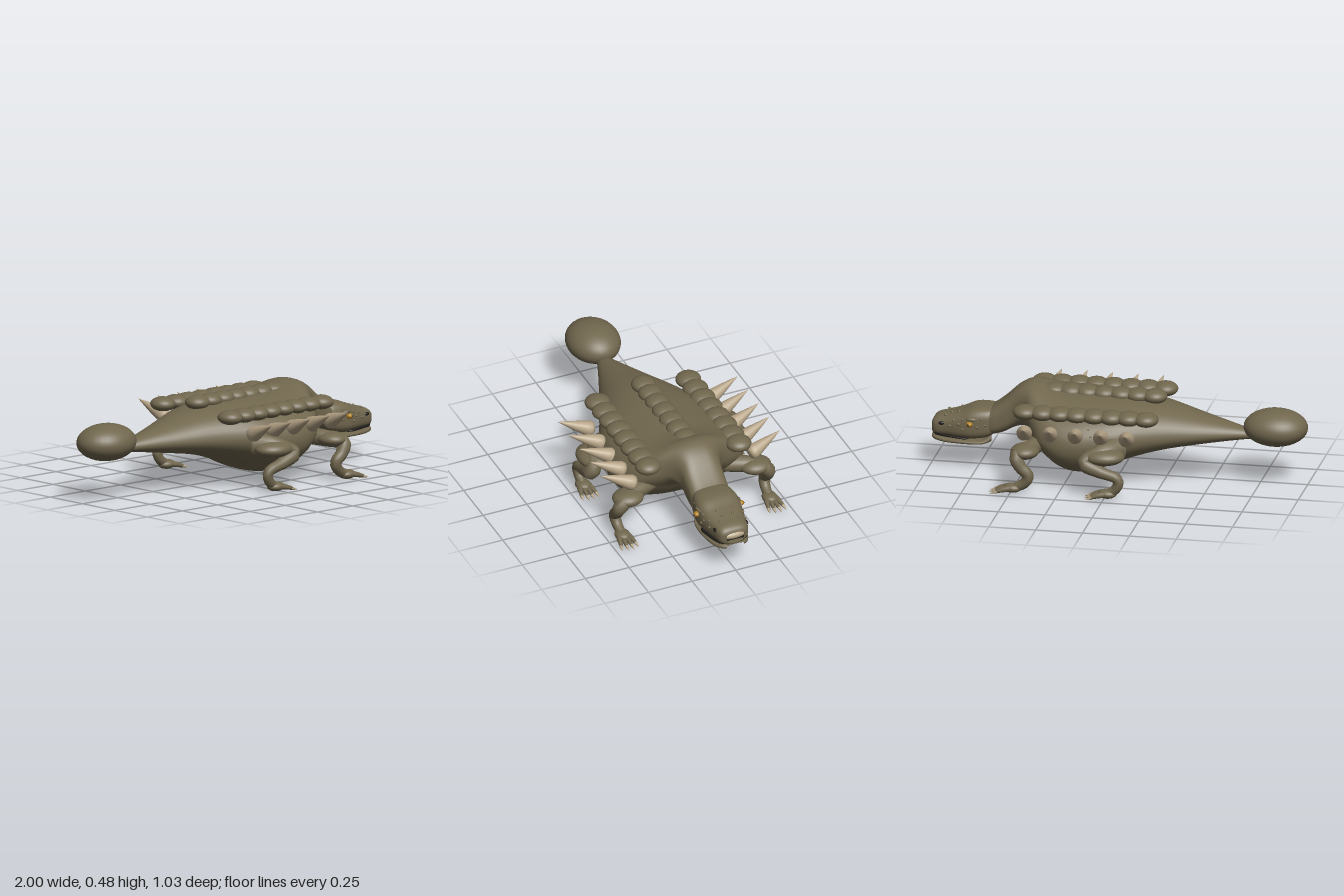
import * as THREE from 'three';
import { mergeVertices } from 'three/addons/utils/BufferGeometryUtils.js';

const mat = (name, color) => Object.assign(new THREE.MeshStandardMaterial({ color }), { name });
const V = (x, y, z) => new THREE.Vector3(x, y, z);

// Smooth skin along x; each row is [x, top, bottom, halfWidth, heightOfWidestPoint, squareness]
function loft(rows, steps = 6, sides = 40) {
  const at = (k, t, c) => {
    const p = i => rows[Math.min(Math.max(i, 0), rows.length - 1)][c];
    const [a, b, d, e] = [p(k - 1), p(k), p(k + 1), p(k + 2)];
    return 0.5 * (2 * b + (d - a) * t + (2 * a - 5 * b + 4 * d - e) * t * t + (3 * b - a - 3 * d + e) * t ** 3);
  };
  const pos = [], index = [], n = (rows.length - 1) * steps;
  for (let i = 0; i <= n; i++) {
    const k = Math.min(Math.floor(i / steps), rows.length - 2), t = i / steps - k;
    const [x, top, bot, hw, mid, power] = [0, 1, 2, 3, 4, 5].map(c => at(k, t, c));
    const bend = v => Math.sign(v) * Math.abs(v) ** (2 / power);
    for (let j = 0; j < sides; j++) {
      const a = j / sides * Math.PI * 2, s = bend(Math.sin(a));
      pos.push(x, mid + s * (s > 0 ? top - mid : mid - bot), hw * bend(Math.cos(a)));
      const j2 = (j + 1) % sides, q = i * sides;
      if (i < n) index.push(q + j, q + sides + j, q + j2, q + sides + j, q + sides + j2, q + j2);
    }
  }
  // End caps
  for (const [row, ring] of [[rows[0], 0], [rows.at(-1), n]]) {
    const c = pos.length / 3;
    pos.push(row[0], row[4], 0);
    for (let j = 0; j < sides; j++) {
      const a = ring * sides + j, b = ring * sides + (j + 1) % sides;
      index.push(c, ...(ring ? [a, b] : [b, a]));
    }
  }
  const g = new THREE.BufferGeometry();
  g.setAttribute('position', new THREE.Float32BufferAttribute(pos, 3));
  g.setIndex(index);
  g.computeVertexNormals();
  return g;
}

// Tube whose radius changes evenly through the given list
function limb(points, radii, steps = 32, sides = 14) {
  const curve = new THREE.CatmullRomCurve3(points);
  const g = new THREE.TubeGeometry(curve, steps, 1, sides);
  const p = g.attributes.position, v = V(0, 0, 0);
  for (let i = 0; i <= steps; i++) {
    const u = i / steps, c = curve.getPointAt(u);
    const f = u * (radii.length - 1), k = Math.min(Math.floor(f), radii.length - 2);
    const r = THREE.MathUtils.lerp(radii[k], radii[k + 1], f - k);
    for (let j = 0; j <= sides; j++) {
      const id = i * (sides + 1) + j;
      v.fromBufferAttribute(p, id).sub(c).multiplyScalar(r).add(c);
      p.setXYZ(id, v.x, v.y, v.z);
    }
  }
  g.deleteAttribute('uv');
  g.deleteAttribute('normal');
  const m = mergeVertices(g, 1e-5);
  m.computeVertexNormals();
  return m;
}

export function createModel() {
  const root = new THREE.Group();
  root.name = 'armouredReptile';
  const hide = mat('hide', 0x71674e), horn = mat('horn', 0xb5a386);
  const amber = mat('amber', 0xb58222), dark = mat('dark', 0x1d1b18);
  const ball = new THREE.SphereGeometry(1, 32, 20), bead = new THREE.SphereGeometry(1, 10, 8);
  // Horn of unit length and radius with a slightly swollen root
  const hornGeo = new THREE.LatheGeometry([[0, -0.06], [0.6, -0.05], [0.92, 0], [1, 0.08], [0.9, 0.2],
    [0.62, 0.48], [0.3, 0.76], [0, 1]].map(p => new THREE.Vector2(...p)), 18);

  const add = (name, geo, m, parent = root) => {
    const mesh = new THREE.Mesh(geo, m);
    mesh.name = name;
    parent.add(mesh);
    return mesh;
  };
  const blob = (name, m, p, s, geo = ball, parent = root) => {
    const b = add(name, geo, m, parent);
    b.position.set(...p);
    b.scale.set(...s);
  };
  const spike = (name, base, tip, r, parent = root) => {
    const d = tip.clone().sub(base), c = add(name, hornGeo, horn, parent);
    c.position.copy(base);
    c.scale.set(r, d.length(), r);
    c.quaternion.setFromUnitVectors(V(0, 1, 0), d.normalize());
  };

  // Trunk from tail root to neck
  add('body', loft([
    [-0.74, 0.28, 0.24, 0.025, 0.26, 2], [-0.66, 0.30, 0.235, 0.05, 0.265, 2],
    [-0.45, 0.355, 0.205, 0.135, 0.27, 2], [-0.24, 0.408, 0.17, 0.225, 0.27, 2.1],
    [-0.05, 0.432, 0.112, 0.315, 0.265, 2.1], [0.08, 0.438, 0.055, 0.355, 0.25, 2.1],
    [0.18, 0.442, 0.034, 0.37, 0.24, 2.1], [0.28, 0.446, 0.06, 0.362, 0.24, 2.1],
    [0.37, 0.462, 0.14, 0.32, 0.26, 2.1], [0.43, 0.483, 0.215, 0.25, 0.30, 2.1],
    [0.48, 0.482, 0.25, 0.165, 0.34, 2.4], [0.54, 0.45, 0.24, 0.12, 0.33, 2.9],
    [0.61, 0.385, 0.205, 0.111, 0.29, 3.2], [0.67, 0.338, 0.19, 0.108, 0.26, 3.2],
    [0.72, 0.31, 0.19, 0.09, 0.255, 3]]), hide);
  blob('tailClub', hide, [-0.83, 0.31, 0], [0.17, 0.098, 0.142]);

  // Back armour: one middle row and two side rows
  for (let i = 0; i < 8; i++) {
    const x = -0.19 + i * 0.092;
    if (i < 7) blob('middleScute', hide, [x * 0.97, 0.438, 0], [0.066, 0.038, 0.064]);
    for (const s of [1, -1]) blob('sideScute', hide, [x, 0.394, s * 0.26], [0.066, 0.038, 0.068]);
  }

  // Flank spikes with small studs between them
  for (const s of [1, -1]) for (let i = 0; i < 5; i++) {
    const x = -0.10 + i * 0.136;
    spike('flankSpike', V(x, 0.302, s * 0.335), V(x - 0.03, 0.378, s * 0.516), 0.041);
    for (const [dx, y, z] of [[0.07, 0.335, 0.318], [0.055, 0.305, 0.338]])
      if (i > 0 && i < 3) blob('flankStud', hide, [x + dx, y, s * z], [0.008, 0.008, 0.008], bead);
  }

  // Head: skull, mouth line, lower jaw and beak
  const head = new THREE.Group();
  head.name = 'head';
  root.add(head);
  add('skull', loft([
    [0.63, 0.325, 0.215, 0.08, 0.26, 3], [0.69, 0.334, 0.175, 0.11, 0.25, 3.6],
    [0.77, 0.332, 0.16, 0.122, 0.235, 3.4], [0.84, 0.305, 0.158, 0.114, 0.225, 3],
    [0.91, 0.284, 0.158, 0.098, 0.222, 2.8], [0.96, 0.272, 0.16, 0.088, 0.22, 2.8],
    [0.985, 0.258, 0.165, 0.074, 0.22, 2.8], [0.995, 0.24, 0.175, 0.05, 0.218, 2.8]]), hide, head);
  add('mouth', loft([
    [0.79, 0.176, 0.164, 0.10, 0.17, 3], [0.82, 0.182, 0.164, 0.117, 0.173, 3],
    [0.91, 0.188, 0.166, 0.102, 0.177, 3], [0.965, 0.191, 0.168, 0.083, 0.18, 3],
    [0.985, 0.191, 0.17, 0.055, 0.181, 3]]), dark, head);
  add('lowerJaw', loft([
    [0.67, 0.20, 0.15, 0.085, 0.172, 3], [0.72, 0.166, 0.138, 0.112, 0.152, 3],
    [0.82, 0.166, 0.135, 0.117, 0.151, 3], [0.92, 0.168, 0.136, 0.103, 0.152, 3],
    [0.975, 0.171, 0.142, 0.08, 0.156, 3], [0.995, 0.168, 0.15, 0.05, 0.158, 3]]), hide, head);
  blob('beak', horn, [0.958, 0.216, 0], [0.042, 0.027, 0.083], ball, head);

  // Eyes, nostrils and head studs
  for (const s of [1, -1]) {
    blob('eye', amber, [0.78, 0.257, s * 0.126], [0.017, 0.014, 0.018], ball, head);
    blob('pupil', dark, [0.783, 0.257, s * 0.1415], [0.004, 0.008, 0.004], bead, head);
    blob('brow', hide, [0.772, 0.28, s * 0.11], [0.03, 0.01, 0.016], ball, head);
    blob('nostril', dark, [0.935, 0.243, s * 0.09], [0.017, 0.01, 0.008], bead, head);
    const studs = [[0.72, 0.285, 0.111], [0.70, 0.25, 0.108], [0.74, 0.24, 0.118], [0.82, 0.275, 0.108],
      [0.84, 0.25, 0.111], [0.87, 0.265, 0.098], [0.89, 0.235, 0.102], [0.82, 0.225, 0.117],
      [0.85, 0.298, 0.045], [0.89, 0.288, 0.03], [0.92, 0.278, 0.055]];
    for (const [x, y, z] of studs) blob('headStud', hide, [x, y, s * z], [0.009, 0.007, 0.008], bead, head);
  }

  // Legs: thigh, shin, foot, four toes with claws
  const leg = (name, s, path, radii, foot) => {
    const g = new THREE.Group();
    g.name = name;
    root.add(g);
    const pts = path.map(([x, y, z]) => V(x, y, s * z));
    add('limb', limb(pts, radii), hide, g);
    blob('footPad', hide, [foot, 0.028, s * 0.422], [0.05, 0.025, 0.04], ball, g);
    for (let k = 0; k < 4; k++) {
      const w = (k - 1.5) / 1.5, reach = 0.095 - 0.016 * Math.abs(w);
      const z = f => s * (0.422 + w * f), tip = V(foot + reach, 0.013, z(0.041));
      add('toe', limb([V(foot, 0.03, z(0.022)), V(foot + reach * 0.55, 0.023, z(0.033)), tip],
        [0.016, 0.014, 0.009], 8, 8), hide, g);
      spike('claw', tip.clone().add(V(-0.004, 0, 0)), V(foot + reach + 0.034, 0.004, z(0.046)), 0.009, g);
    }
  };
  for (const s of [1, -1]) {
    leg('hindLeg', s, [[-0.04, 0.235, 0.28], [0.03, 0.225, 0.375], [0.11, 0.19, 0.422], [0.03, 0.15, 0.43],
      [-0.075, 0.108, 0.428], [-0.06, 0.055, 0.424], [-0.015, 0.028, 0.422]],
      [0.07, 0.06, 0.042, 0.038, 0.029, 0.027, 0.024], -0.015);
    leg('frontLeg', s, [[0.37, 0.225, 0.20], [0.415, 0.217, 0.33], [0.47, 0.195, 0.418], [0.445, 0.145, 0.43],
      [0.405, 0.10, 0.428], [0.43, 0.055, 0.424], [0.485, 0.028, 0.422]],
      [0.04, 0.046, 0.044, 0.039, 0.032, 0.029, 0.024], 0.49);
    blob('hip', hide, [0.015, 0.217, s * 0.375], [0.112, 0.046, 0.09]);
    blob('shoulder', hide, [0.435, 0.215, s * 0.365], [0.075, 0.04, 0.085]);
  }
  return root;
}
